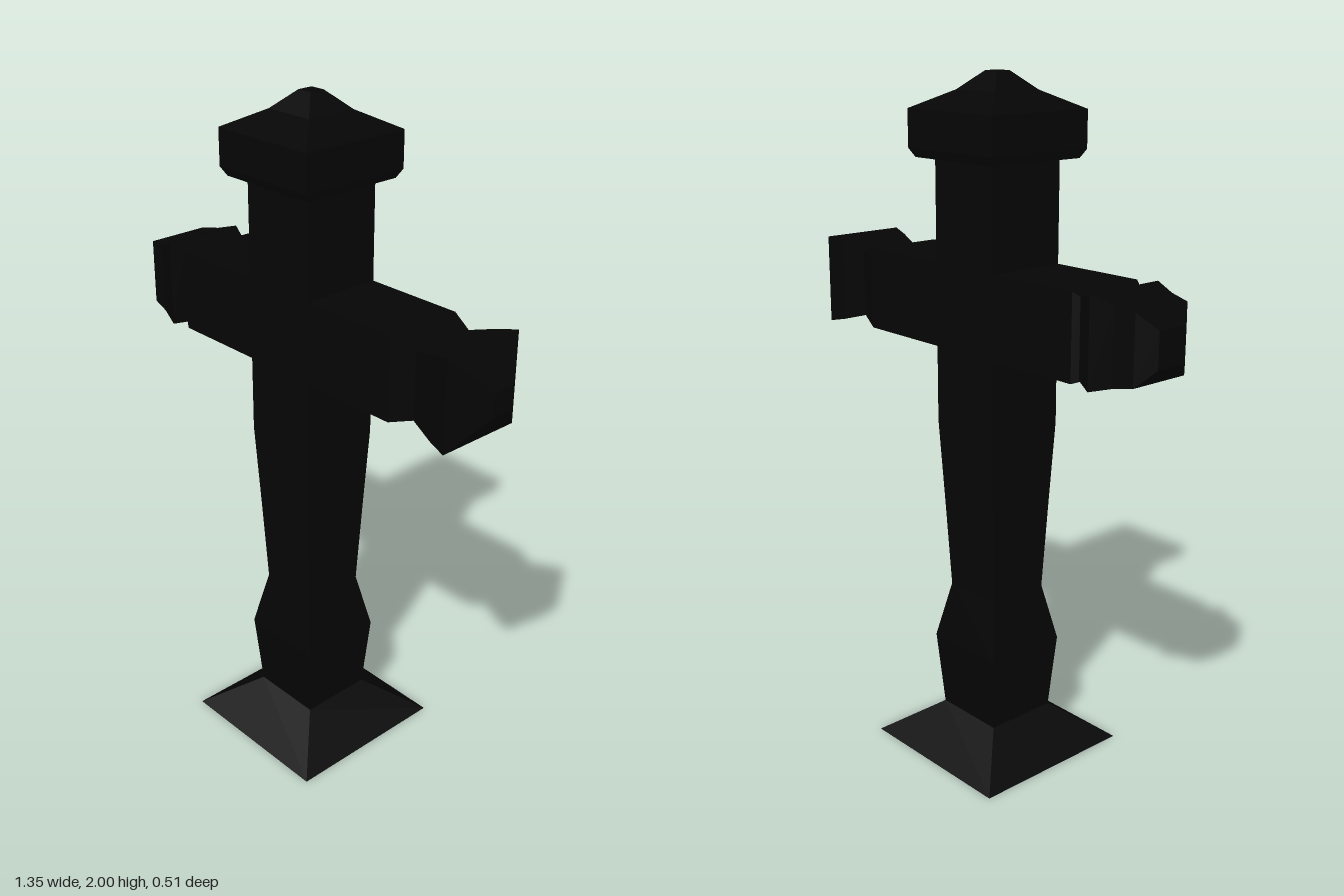
import * as THREE from 'three';

const POST_X = -0.027;
const ARM_Y = 1.36;
const stone = new THREE.MeshStandardMaterial({ color: 0x050505, flatShading: true });

// Square-section turned solid from [half width, height] pairs, closed at both ends.
function squareTurned(name, profile) {
  const first = profile[0], last = profile[profile.length - 1];
  const points = [[0, first[1]], ...profile, [0, last[1]]]
    .map(([half, y]) => new THREE.Vector2(half * Math.SQRT2, y));
  const mesh = new THREE.Mesh(new THREE.LatheGeometry(points, 4, Math.PI / 4), stone);
  mesh.name = name;
  return mesh;
}

export function createModel() {
  const group = new THREE.Group();
  group.name = 'cross';

  // Upright with flared foot and swelling lower shaft
  const post = squareTurned('post', [
    [0.257, 0], [0.112, 0.108], [0.13, 0.335], [0.095, 0.505],
    [0.108, 0.78], [0.12, 1.02], [0.12, 1.78],
  ]);
  post.position.x = POST_X;

  // Overhanging cap with stepped pyramid roof
  const cap = squareTurned('cap', [
    [0.158, 1.77], [0.172, 1.795], [0.172, 1.9], [0.078, 1.95], [0.023, 2],
  ]);
  cap.position.x = POST_X;

  // Crossbar along x, with a differently shaped finial at each end
  const crossbar = squareTurned('crossbar', [
    [0.05, -0.675], [0.096, -0.636], [0.107, -0.575], [0.126, -0.51], [0.109, -0.462], [0.12, -0.443],
    [0.12, 0.397], [0.097, 0.466], [0.119, 0.545], [0.131, 0.601], [0.096, 0.627], [0.035, 0.673],
  ]);
  crossbar.rotation.z = -Math.PI / 2;
  crossbar.position.y = ARM_Y;

  group.add(post, cap, crossbar);
  return group;
}
